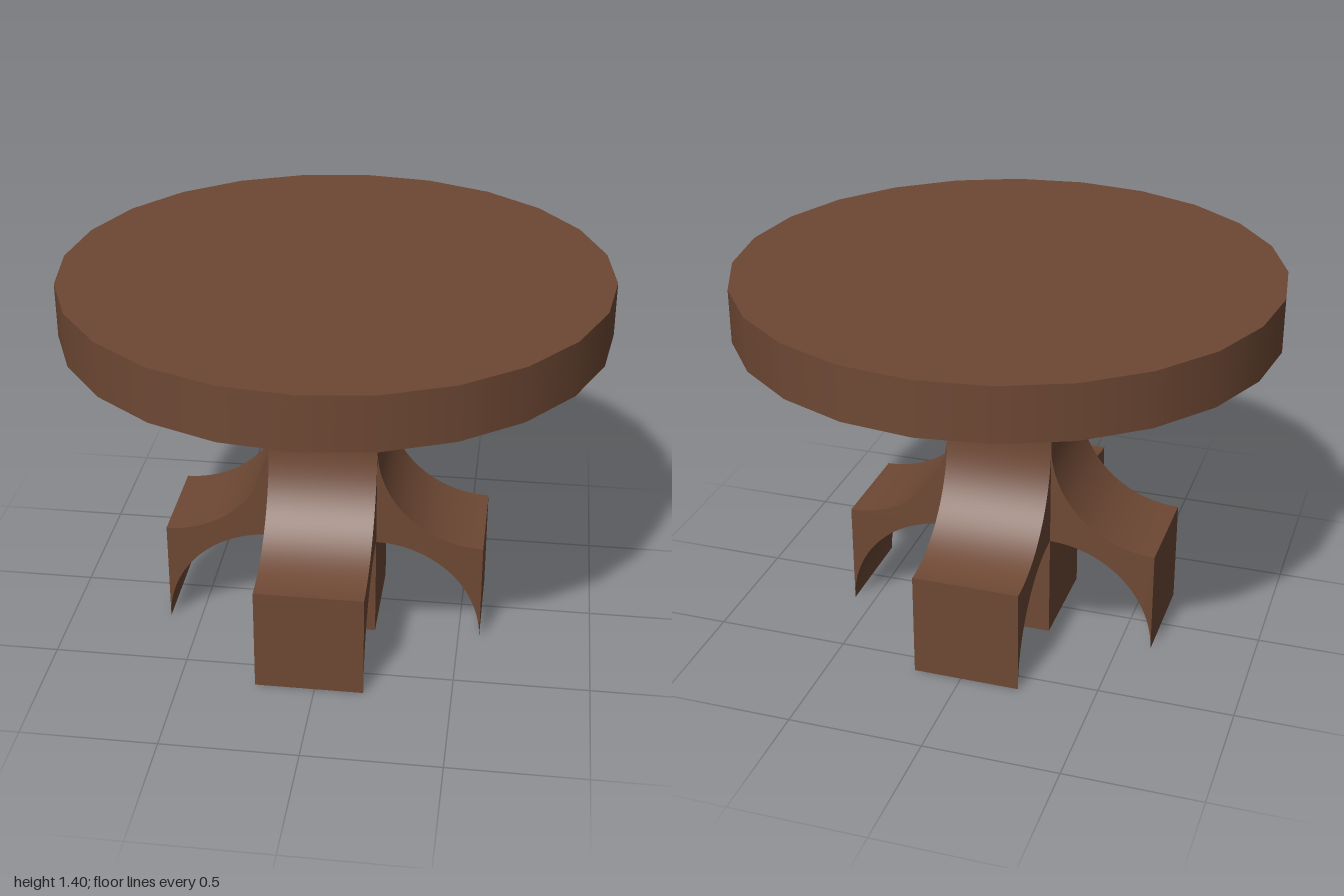
import * as THREE from 'three';
import { toCreasedNormals } from 'three/addons/utils/BufferGeometryUtils.js';

export function createModel() {
  const model = new THREE.Group();
  model.name = 'pedestalTable';
  const wood = new THREE.MeshStandardMaterial({ color: 0x6e4834 });
  wood.name = 'brownWood';

  const add = (name, geometry, parent) => {
    const mesh = new THREE.Mesh(geometry, wood);
    mesh.name = name;
    parent.add(mesh);
    return mesh;
  };

  // Round top, 24 sides
  add('tableTop', new THREE.CylinderGeometry(1, 1, 0.2, 24), model).position.y = 1.3;

  // Pedestal sits slightly off the centre of the top
  const pedestal = new THREE.Group();
  pedestal.name = 'pedestal';
  pedestal.position.set(-0.02, 0, 0.02);
  model.add(pedestal);

  const w = 0.4;
  add('post', new THREE.BoxGeometry(w, 1.2, w), pedestal).position.y = 0.6;

  // Leg profile: concave quarter arc on top, arched quarter arc below
  const profile = new THREE.Shape();
  profile.moveTo(0.2, 0.4);
  profile.absarc(0.2, 0, 0.4, Math.PI / 2, 0, true);
  profile.lineTo(0.6, 0.4);
  profile.absarc(0.6, 0.8, 0.4, -Math.PI / 2, -Math.PI, true);
  profile.closePath();
  const extruded = new THREE.ExtrudeGeometry(profile, {
    depth: w, bevelEnabled: false, curveSegments: 20,
  });
  extruded.translate(0, 0, -w / 2);
  const legGeometry = toCreasedNormals(extruded, 0.5);

  // Four legs around the post
  ['leftLeg', 'backLeg', 'rightLeg', 'frontLeg'].forEach((name, i) => {
    add(name, legGeometry, pedestal).rotation.y = (i * Math.PI) / 2;
  });

  return model;
}
